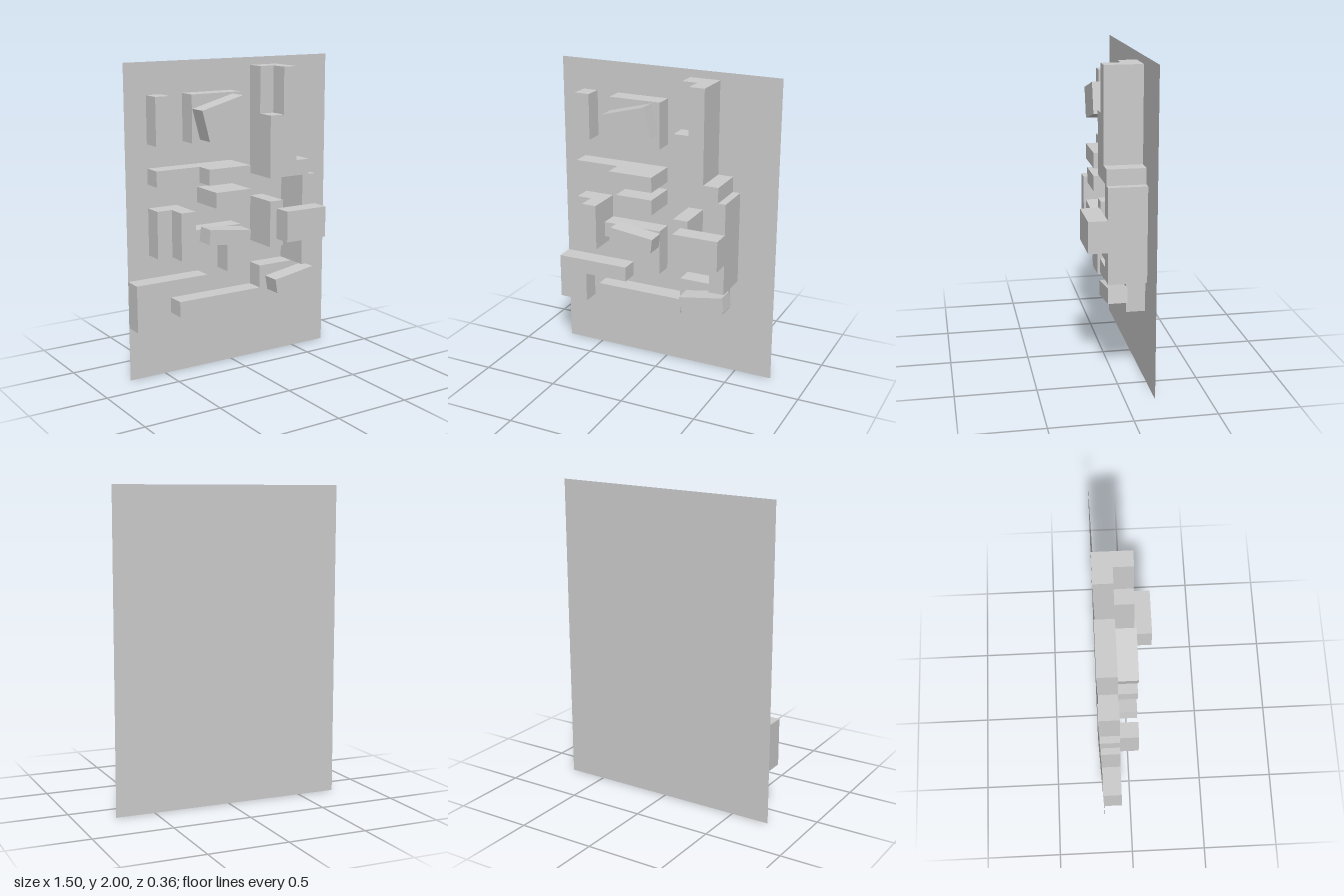
import * as THREE from 'three';

const LAYER = 0.12; // thickness of one layer of blocks
const BACK = -0.18; // z of the backing sheet

export function createModel() {
  const model = new THREE.Group();
  const material = new THREE.MeshStandardMaterial({ color: 0xcccccc, flatShading: true });

  const add = (name, geometry) => {
    const mesh = new THREE.Mesh(geometry, material);
    mesh.name = name;
    model.add(mesh);
    return mesh;
  };

  // Rectangular block on layers [first, first + count)
  const block = (name, x0, x1, y0, y1, first = 0, count = 1) => {
    const mesh = add(name, new THREE.BoxGeometry(x1 - x0, y1 - y0, count * LAYER));
    mesh.position.set((x0 + x1) / 2, (y0 + y1) / 2, BACK + (first + count / 2) * LAYER);
    return mesh;
  };

  // Block with a stepped outline, one layer deep
  const stepped = (name, outline, layer = 0) => {
    const shape = new THREE.Shape(outline.map(([x, y]) => new THREE.Vector2(x, y)));
    const geometry = new THREE.ExtrudeGeometry(shape, { depth: LAYER, bevelEnabled: false });
    add(name, geometry).position.z = BACK + layer * LAYER;
  };

  // Tilted block resting on the first layer
  const tilted = (name, x, y, w, h, degrees) => {
    const mesh = block(name, x - w / 2, x + w / 2, y - h / 2, y + h / 2, 1);
    mesh.rotation.z = THREE.MathUtils.degToRad(degrees);
  };

  // Backing sheet
  const sheet = add('backingSheet', new THREE.PlaneGeometry(1.5, 2));
  sheet.position.set(0, 1, BACK);
  sheet.material = material.clone();
  sheet.material.side = THREE.DoubleSide;

  // Upper left blocks
  block('upperPost', -0.6, -0.5, 1.5, 1.8);
  block('upperBase', -0.35, 0, 1.5, 1.8);
  tilted('upperTiltedBlock', -0.175, 1.655, 0.3, 0.2, 15);

  // Middle left blocks
  block('longBar', -0.6, 0, 1.25, 1.35);
  block('longBarFront', -0.3, 0, 1.25, 1.35, 1);
  block('shortBar', -0.25, 0, 1.1, 1.2, 0, 2);
  block('sideBlock', -0.6, -0.4, 0.8, 1.1);
  block('sideBlockFront', -0.5, -0.4, 0.8, 1.1, 1);
  stepped('hookBar', [[-0.4, 0.85], [-0.1, 0.85], [-0.1, 0.65], [0, 0.65], [0, 0.95], [-0.4, 0.95]]);
  tilted('middleTiltedBlock', -0.15, 0.905, 0.3, 0.095, -6.7);

  // Stepped tower on the right, the front layer notched at its top
  const towerSteps = [[0.15, 1.25], [0.4, 1.25], [0.4, 0.65], [0.5, 0.65], [0.5, 1.25],
    [0.45, 1.25], [0.45, 1.35], [0.35, 1.35], [0.35, 1.95]];
  stepped('towerBack', [...towerSteps, [0.15, 1.95]]);
  stepped('towerFront', [...towerSteps, [0.25, 1.95], [0.25, 1.65], [0.15, 1.65]], 1);

  // Bridge between a small post and the tower
  block('bridgePost', 0.15, 0.25, 0.8, 1.1, 0, 2);
  block('bridge', 0.2, 0.5, 0.85, 1.05, 2);

  // Lower blocks
  stepped('lowerCorner', [[-0.75, 0.35], [-0.55, 0.35], [-0.55, 0.55], [-0.25, 0.55], [-0.25, 0.65], [-0.75, 0.65]]);
  stepped('lowerBar', [[-0.45, 0.4], [0.15, 0.4], [0.15, 0.45], [0.45, 0.45], [0.45, 0.65],
    [0.15, 0.65], [0.15, 0.5], [-0.45, 0.5]]);
  tilted('lowerTiltedBlock', 0.35, 0.553, 0.3, 0.095, 9.5);

  return model;
}
